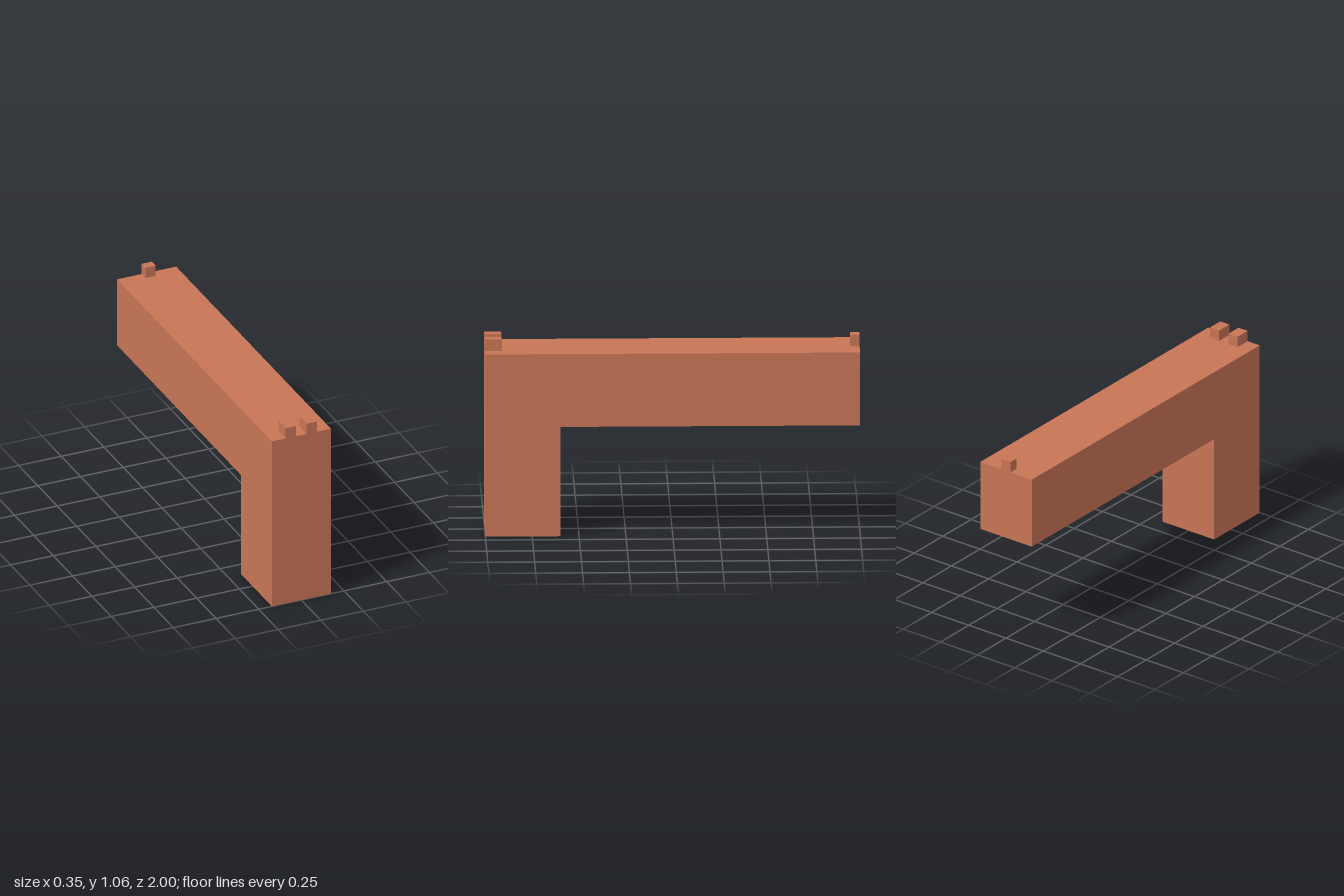
import * as THREE from 'three';

export function createModel() {
  const model = new THREE.Group();
  const material = new THREE.MeshStandardMaterial({ color: 0xc87556 });
  const width = 0.346;

  const add = (name, geometry) => {
    const mesh = new THREE.Mesh(geometry, material);
    mesh.name = name;
    model.add(mesh);
    return mesh;
  };

  // L-shaped body: side profile as (z, y), extruded across the width
  const profile = new THREE.Shape([
    [1, 0], [1, 1], [-1, 1], [-1, 0.6], [0.6, 0.6], [0.6, 0],
  ].map(([z, y]) => new THREE.Vector2(z, y)));
  const body = new THREE.ExtrudeGeometry(profile, { depth: width, bevelEnabled: false });
  body.translate(0, 0, -width / 2).rotateY(-Math.PI / 2);
  add('body', body);

  // Small blocks standing on the top face
  const block = (name, x, z, depth) =>
    add(name, new THREE.BoxGeometry(0.061, 0.062, depth)).position.set(x, 1.031, z);

  // Pair of blocks with a gap at the front, single block at the back
  block('leftFrontBlock', 0.0615, 0.955, 0.09);
  block('rightFrontBlock', -0.0615, 0.955, 0.09);
  block('rearBlock', 0, -0.975, 0.05);

  return model;
}
